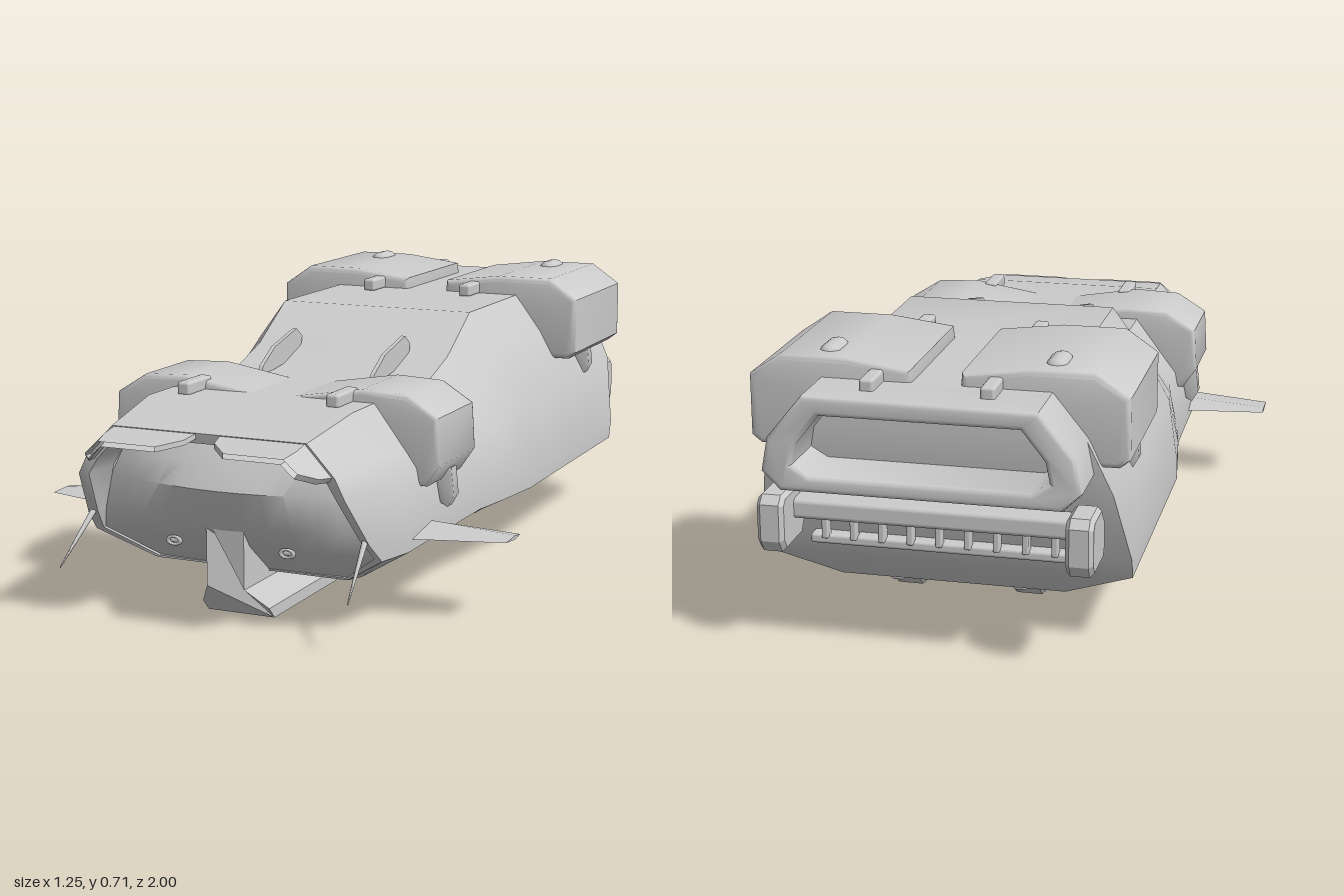
import * as THREE from 'three';
import { toCreasedNormals } from 'three/addons/utils/BufferGeometryUtils.js';
import { RoundedBoxGeometry } from 'three/addons/geometries/RoundedBoxGeometry.js';

const solid = new THREE.MeshStandardMaterial({ color: 0xcccccc });
const shell = new THREE.MeshStandardMaterial({ color: 0xcccccc, side: THREE.DoubleSide });

// Quads between neighbouring rows of points; rows may close into rings
function lattice(rows, closed) {
  const n = rows[0].length, index = [];
  for (let i = 0; i < rows.length - 1; i++)
    for (let j = 0; j < (closed ? n : n - 1); j++) {
      const k = (j + 1) % n, a = i * n + j, b = i * n + k, c = a + n, d = b + n;
      index.push(a, c, b, b, c, d);
    }
  const geo = new THREE.BufferGeometry();
  geo.setAttribute('position', new THREE.Float32BufferAttribute(rows.flat(2), 3));
  geo.setIndex(index);
  return toCreasedNormals(geo, 0.62);
}

const polygon = (pts) => new THREE.Shape(pts.map((p) => new THREE.Vector2(...p)));
const symmetric = (pts) => [...pts, ...pts.map(([x, y]) => [-x, y]).reverse()];

// Front outline (x, y) extruded from z0 to z1
function frontExtrude(pts, z0, z1, bevel = 0, hole) {
  const shape = polygon(pts);
  if (hole) shape.holes.push(new THREE.Path(hole.map((p) => new THREE.Vector2(...p))));
  const geo = new THREE.ExtrudeGeometry(shape, {
    depth: z1 - z0 - 2 * bevel, bevelEnabled: bevel > 0, bevelSize: bevel,
    bevelThickness: bevel, bevelOffset: -bevel, bevelSegments: 3,
  });
  geo.translate(0, 0, z0 + bevel);
  return toCreasedNormals(geo, 0.7);
}

// Side outline (z, y) extruded across x, centred on x
function sideExtrude(pts, x, width, bevel = 0) {
  const geo = new THREE.ExtrudeGeometry(polygon(pts), {
    depth: width - 2 * bevel, bevelEnabled: bevel > 0, bevelSize: bevel,
    bevelThickness: bevel, bevelOffset: -bevel, bevelSegments: 1,
  });
  geo.translate(0, 0, -(width - 2 * bevel) / 2);
  return geo.rotateY(-Math.PI / 2).translate(x, 0, 0);
}

// Mirror across x, keeping faces outward
function mirrored(geo) {
  const out = (geo.index ? geo.toNonIndexed() : geo.clone()).scale(-1, 1, 1);
  for (const { array, itemSize: s } of Object.values(out.attributes))
    for (let i = 0; i < array.length; i += 3 * s)
      for (let k = 0; k < s; k++) {
        const t = array[i + s + k];
        array[i + s + k] = array[i + 2 * s + k];
        array[i + 2 * s + k] = t;
      }
  return out;
}

export function createModel() {
  const model = new THREE.Group();
  const add = (name, geo, mat = solid) => {
    const mesh = new THREE.Mesh(geo, mat);
    mesh.name = name;
    model.add(mesh);
  };
  const pair = (name, geo, mat) => {
    add(name + 'Left', geo, mat);
    add(name + 'Right', mirrored(geo), mat);
  };
  const box = (w, h, d, x, y, z, r = 0.008) => new RoundedBoxGeometry(w, h, d, 2, r).translate(x, y, z);

  // Hull: six points per half section, from bottom edge up to roof edge
  const section = (z, w, top, midY) => [
    [0.28, 0.1, z], [w, 0.18, z], [w, 0.23, z], [w - 0.025, midY, z], [0.35, top - 0.1, z], [0.275, top, z]];
  const noseEdge = [[0.26, 0.1, 0.7], [0.385, 0.18, 0.78], [0.375, 0.23, 0.83],
    [0.35, 0.35, 0.91], [0.325, 0.4, 0.91], [0.255, 0.475, 0.91]];
  const innerEdge = [[0.255, 0.105, 0.7], [0.365, 0.185, 0.78], [0.35, 0.24, 0.83],
    [0.325, 0.35, 0.905], [0.3, 0.39, 0.905], [0.24, 0.45, 0.905]];
  const recess = innerEdge.map(([x, y, z], i) => [x, y, i < 2 ? z - 0.01 : 0.79]);
  const tailEdge = [[0.28, 0.1, -0.7], [0.455, 0.18, -0.77], [0.455, 0.23, -0.785],
    [0.42, 0.41, -0.85], [0.36, 0.54, -0.86], [0.275, 0.645, -0.86]];
  const halves = [recess, innerEdge, noseEdge,
    [[0.28, 0.1, 0.66], [0.41, 0.18, 0.68], [0.41, 0.23, 0.69], [0.385, 0.36, 0.7], [0.35, 0.41, 0.7], [0.275, 0.51, 0.7]],
    section(0.45, 0.412, 0.51, 0.36), section(0.22, 0.415, 0.51, 0.36), section(0.1, 0.435, 0.55, 0.37),
    section(-0.06, 0.455, 0.645, 0.4), section(-0.4, 0.455, 0.645, 0.4), section(-0.65, 0.455, 0.645, 0.4), tailEdge];
  const ring = (half) => [...half, ...half.map(([x, y, z]) => [-x, y, z]).reverse()];
  add('hull', lattice(halves.map(ring), true), shell);

  // End faces: rows of points bowed outward at the middle
  const face = (edge, bow) => lattice(edge.map(([x, y, z], r) =>
    Array.from({ length: 13 }, (_, c) => {
      const t = c / 6 - 1;
      return [t * x, y, z + bow[r] * (1 - t * t)];
    })).reverse(), false);
  const noseRows = [...recess.slice(0, 3), [0.33, 0.33, 0.79], ...recess.slice(4)];
  add('noseFace', face(noseRows, [0.01, 0.03, 0.05, 0.08, 0.05, 0]), shell);
  add('tailFace', face(tailEdge, [0, 0, 0, 0, 0, 0]), shell);

  // Overhanging tail frame with an open recess
  add('tailFrame', frontExtrude(
    symmetric([[0.33, 0.415], [0.375, 0.46], [0.36, 0.54], [0.275, 0.645]]), -1, -0.8, 0.012,
    symmetric([[0.26, 0.455], [0.3, 0.48], [0.29, 0.53], [0.235, 0.6]])));

  // Brow visors above the windscreen
  const visor = [
    [[0.03, 0.475, 0.9], [0.25, 0.475, 0.9], [0.32, 0.4, 0.9]],
    [[0.04, 0.465, 0.95], [0.25, 0.465, 0.95], [0.305, 0.405, 0.95]],
    [[0.09, 0.455, 1], [0.24, 0.455, 1], [0.275, 0.425, 1]]];
  const under = visor.map((row) => row.map(([x, y, z]) => [x * 0.97, y - 0.012, z]).reverse());
  pair('browVisor', lattice(visor.map((row, i) => [...row, ...under[i]]).reverse(), true), shell);

  // Centre keel, flared at the foot and raked at both ends
  const keel = frontExtrude(symmetric([[0.09, 0], [0.09, 0.03], [0.05, 0.085], [0.05, 0.255]]), 0, 1);
  const kp = keel.attributes.position;
  for (let i = 0; i < kp.count; i++) {
    const y = Math.min(kp.getY(i), 0.085);
    kp.setZ(i, kp.getZ(i) > 0.5 ? 0.75 + y * 0.94 : 0.07 - y * 1.75);
  }
  keel.computeVertexNormals();
  add('keel', keel);

  // Belly skids
  pair('skid', sideExtrude([[-0.07, 0.11], [-0.08, 0.065], [-0.28, 0.06], [-0.35, 0.015],
    [-0.53, 0.015], [-0.57, 0.05], [-0.57, 0.11]], 0.155, 0.1, 0.018));
  pair('skidTail', box(0.035, 0.04, 0.1, 0.155, 0.09, -0.6));
  pair('skidRod', box(0.035, 0.03, 0.08, 0.155, 0.085, -0.05));

  // Shoulder pods with their clips, lower tabs and caps
  pair('frontPod', frontExtrude([[0.05, 0.48], [0.06, 0.51], [0.24, 0.54], [0.36, 0.535], [0.44, 0.485],
    [0.447, 0.37], [0.41, 0.315], [0.3, 0.315], [0.1, 0.42]], 0.335, 0.575, 0.012));
  pair('rearPod', frontExtrude([[0.055, 0.62], [0.06, 0.675], [0.22, 0.695], [0.375, 0.695], [0.455, 0.64],
    [0.455, 0.49], [0.43, 0.47], [0.3, 0.47], [0.1, 0.55]], -0.84, -0.425, 0.015));
  pair('frontPodClip', box(0.035, 0.035, 0.12, 0.202, 0.523, 0.6));
  pair('rearPodClipFront', box(0.035, 0.035, 0.12, 0.147, 0.66, -0.405));
  pair('rearPodClipBack', box(0.035, 0.035, 0.12, 0.142, 0.655, -0.865));
  for (const [name, y, z] of [['frontPodTab', 0.245, 0.455], ['rearPodTab', 0.4, -0.61]])
    pair(name, frontExtrude([[0.39, y + 0.09], [0.405, y + 0.01], [0.425, y], [0.442, y + 0.03], [0.435, y + 0.1]],
      z - 0.018, z + 0.018, 0.003));
  pair('podCap', new THREE.CapsuleGeometry(0.027, 0.05, 4, 12).rotateX(Math.PI / 2)
    .scale(1, 0.75, 1).translate(0.272, 0.689, -0.745));

  // Roof fins, wider at the front foot
  pair('roofFin', sideExtrude([[0.34, 0.5], [0.32, 0.53], [0.25, 0.57], [0.12, 0.6], [0.085, 0.575], [0.1, 0.53]],
    0.158, 0.011));

  // Stub wings: thin diamond sections tapering to the tip
  const wing = [[0.37, 0.46, 0.67, 0.024], [0.42, 0.475, 0.655, 0.02], [0.625, 0.5, 0.6, 0.005]]
    .map(([x, z0, z1, h]) => [[x, 0.205, z0], [x, 0.205 + h, z0 + (z1 - z0) * 0.35],
      [x, 0.207, z1], [x, 0.205 - h, z0 + (z1 - z0) * 0.35]]);
  wing.push(wing[2].map(() => [0.625, 0.205, 0.55]));
  pair('stubWing', lattice(wing, true), shell);

  // Whisker spikes and nose lamps
  const from = new THREE.Vector3(0.362, 0.245, 0.82), to = new THREE.Vector3(0.379, 0.125, 0.96);
  const dir = to.clone().sub(from);
  const spike = new THREE.CylinderGeometry(0.0015, 0.008, dir.length(), 8)
    .applyQuaternion(new THREE.Quaternion().setFromUnitVectors(new THREE.Vector3(0, 1, 0), dir.normalize()));
  pair('whisker', spike.translate(...from.add(to).multiplyScalar(0.5).toArray()));
  const lamp = new THREE.TorusGeometry(0.014, 0.005, 8, 16).scale(1.2, 0.7, 1).translate(0.152, 0.18, 0.805);
  pair('lampRim', lamp);
  pair('lamp', box(0.024, 0.012, 0.02, 0.152, 0.18, 0.797, 0.005));

  // Tail bumper: end blocks, cross bar and a toothed vent
  pair('bumperEnd', sideExtrude([[-0.82, 0.28], [-0.84, 0.25], [-0.96, 0.25], [-0.98, 0.28], [-0.98, 0.37],
    [-0.96, 0.39], [-0.87, 0.39], [-0.83, 0.35]], 0.365, 0.065, 0.01));
  add('bumperBar', box(0.7, 0.05, 0.07, 0, 0.335, -0.865, 0.012));
  add('ventSill', box(0.64, 0.025, 0.05, 0, 0.235, -0.8));
  for (let i = 0; i < 9; i++)
    add('ventTooth' + (i + 1), box(0.016, 0.08, 0.03, (i - 4) * 0.07, 0.28, -0.82, 0.004));

  return model;
}
